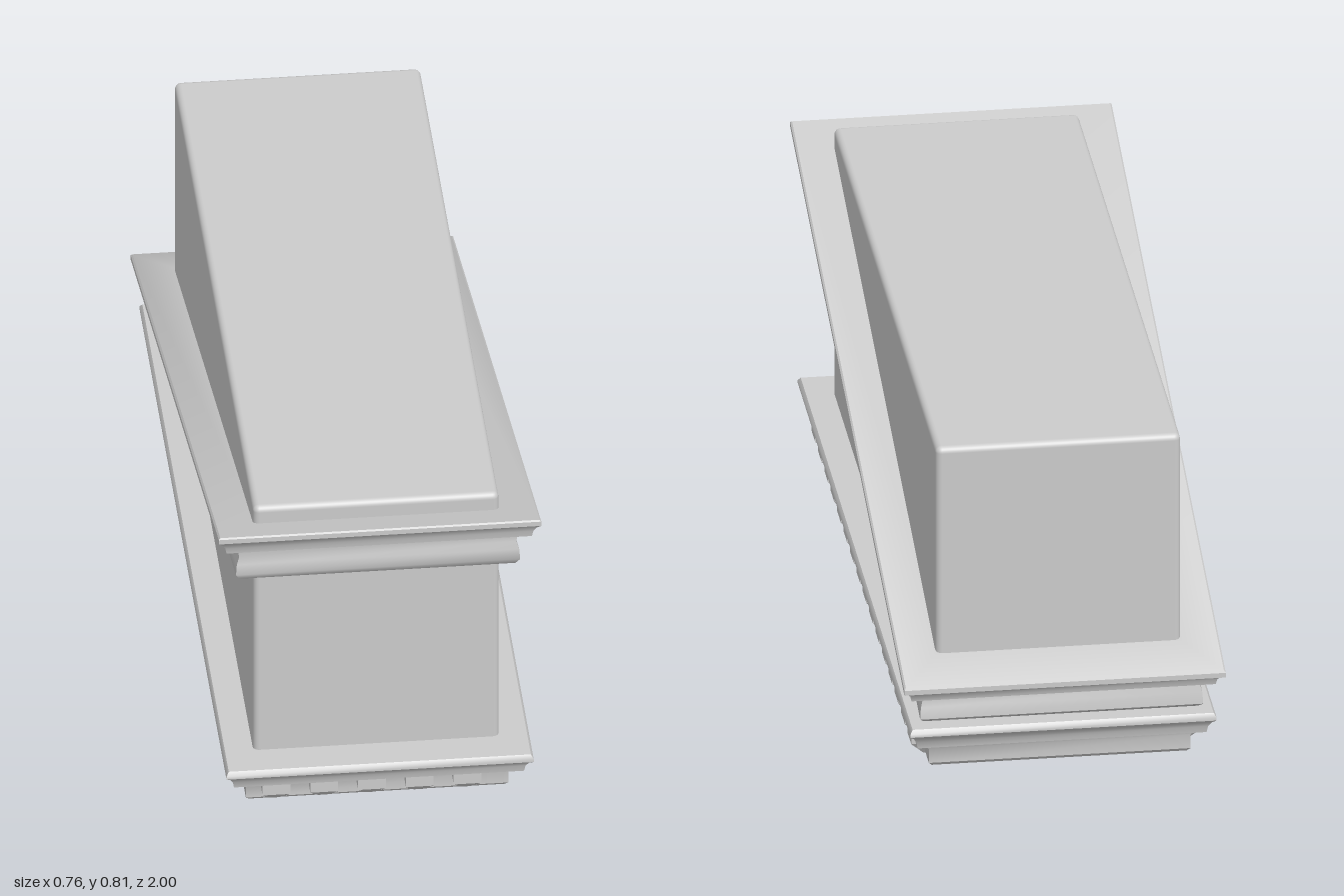
import * as THREE from 'three';
import { toCreasedNormals } from 'three/addons/utils/BufferGeometryUtils.js';
import { RoundedBoxGeometry } from 'three/addons/geometries/RoundedBoxGeometry.js';

const HALF_X = 0.288, FRONT = 0.91, BACK = -0.88;   // footprint of the core block
const SLOPE = 0.27;                                  // fall of the raking cornice

// Sweeps a profile of [offset, height] around the core with mitred corners,
// listed from the bottom up. The ring is sheared along z by slope.
function mouldingRing(profile, frontScale, backScale, slope = 0) {
  const corners = profile.map(([o, y]) => {
    const x = HALF_X + o, zf = FRONT + o * frontScale, zb = BACK - o * backScale;
    return [[-x, zf], [x, zf], [x, zb], [-x, zb]]
      .map(([cx, cz]) => [cx, y + slope * cz, cz]);
  });
  const pos = [];
  for (let i = 0; i < profile.length - 1; i++) {
    for (let s = 0; s < 4; s++) {
      const t = (s + 1) % 4;
      const a = corners[i][s], b = corners[i][t], c = corners[i + 1][t], d = corners[i + 1][s];
      pos.push(...a, ...b, ...c, ...a, ...c, ...d);
    }
  }
  const geo = new THREE.BufferGeometry();
  geo.setAttribute('position', new THREE.Float32BufferAttribute(pos, 3));
  return toCreasedNormals(geo, 0.75);
}

// Block whose lower half tapers to a blunt point; its back lies on z = 0
function dentilGeometry(depth) {
  const geo = new THREE.BoxGeometry(0.065, 0.066, depth, 1, 2, 1).toNonIndexed();
  const p = geo.attributes.position;
  for (let i = 0; i < p.count; i++) {
    const y = p.getY(i);
    let x = p.getX(i), z = p.getZ(i) + depth / 2;
    if (y < -0.01) {
      x *= 0.32;
      z = z > 0.01 ? 0.024 : 0;
    }
    p.setXYZ(i, x, y + 0.038, z);
  }
  geo.computeVertexNormals();
  return geo;
}

export function createModel() {
  const model = new THREE.Group();
  const material = new THREE.MeshStandardMaterial({ color: 0xcccccc });
  const add = (name, geo, parent = model) => {
    const mesh = new THREE.Mesh(geo, material);
    mesh.name = name;
    parent.add(mesh);
    return mesh;
  };

  // Core block with softly rounded edges
  const top = 0.806, bottom = 0.02;
  const core = add('coreBlock',
    new RoundedBoxGeometry(HALF_X * 2, top - bottom, FRONT - BACK, 3, 0.015));
  core.position.set(0, (top + bottom) / 2, (FRONT + BACK) / 2);

  // Base moulding, closed underneath
  add('baseMoulding', mouldingRing([
    [-HALF_X, 0], [0.012, 0], [0.02, 0.01], [0.02, 0.045], [0.03, 0.066],
    [0.052, 0.068], [0.055, 0.085], [0.062, 0.098], [0.072, 0.108],
    [0.072, 0.116], [0.066, 0.125], [-0.01, 0.125],
  ], 1.27, 1.27));

  // Raking cornice, high at the front and low at the back
  add('rakingCornice', mouldingRing([
    [-0.01, 0.366], [0.015, 0.37], [0.035, 0.378], [0.045, 0.392], [0.043, 0.42],
    [0.037, 0.44], [0.04, 0.462], [0.07, 0.465], [0.073, 0.48], [0.08, 0.492],
    [0.09, 0.5], [0.09, 0.512], [0.086, 0.516], [-0.01, 0.516],
  ], 1, 1.32, SLOPE));

  // Dentils along the front and both sides
  const dentils = new THREE.Group();
  dentils.name = 'dentils';
  model.add(dentils);
  const frontGeo = dentilGeometry(0.062), sideGeo = dentilGeometry(0.055);
  for (let i = 0; i < 5; i++) {
    add('frontDentil', frontGeo, dentils).position.set(-0.24 + i * 0.112, 0, FRONT);
  }
  for (const side of [-1, 1]) {
    for (let i = 0; i < 16; i++) {
      const dentil = add('sideDentil', sideGeo, dentils);
      dentil.position.set(side * HALF_X, 0, 0.855 - i * 0.112);
      dentil.rotation.y = side * Math.PI / 2;
    }
  }
  return model;
}
